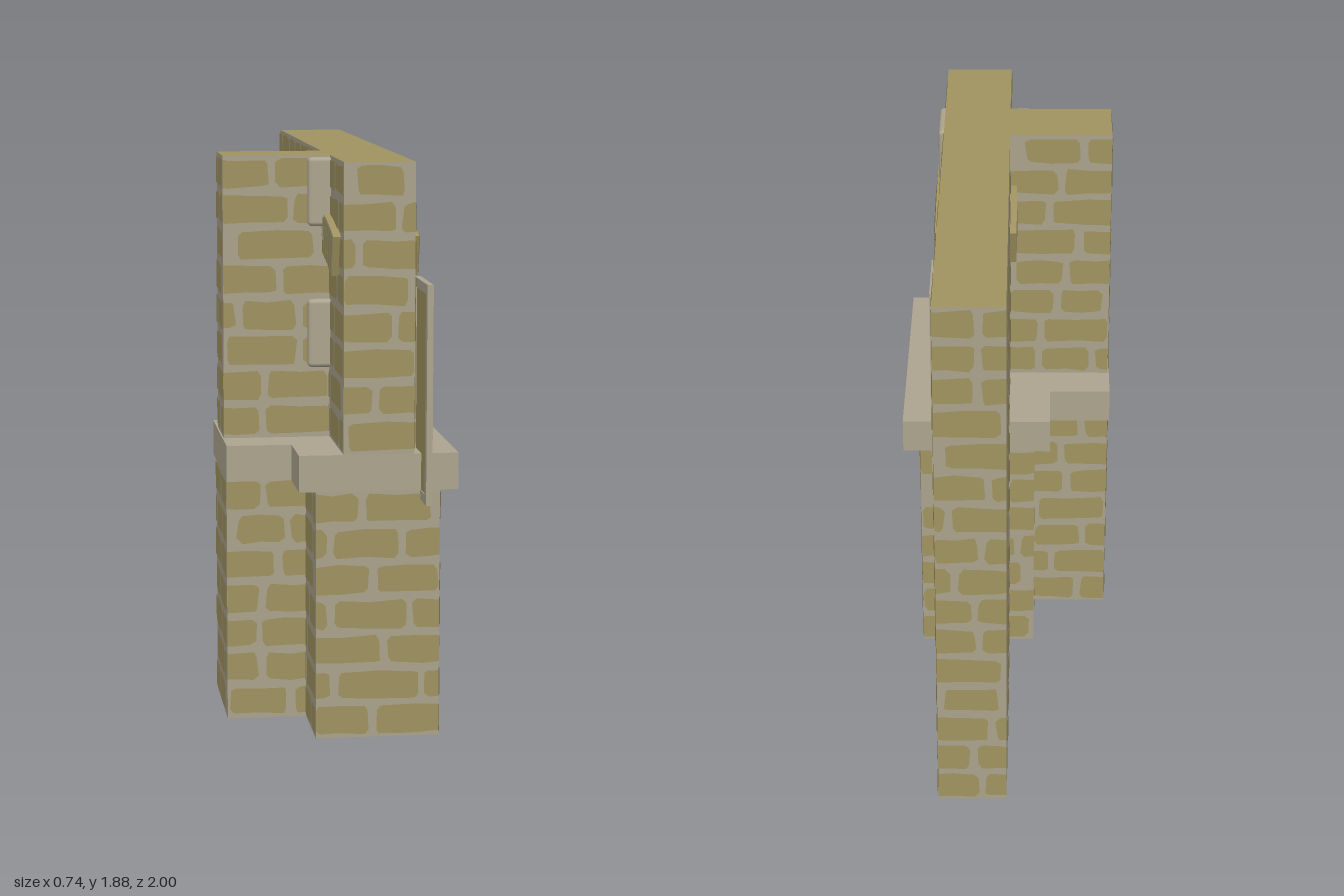
import * as THREE from 'three';
import { mergeGeometries } from 'three/addons/utils/BufferGeometryUtils.js';
import { RoundedBoxGeometry } from 'three/addons/geometries/RoundedBoxGeometry.js';

const PITCH = 0.1175; // height of one brick course
const LIFT = 0.003;   // brick plates sit just proud of the mortar

export function createModel() {
  const model = new THREE.Group();
  model.name = 'brickWallCorner';

  const brick = new THREE.MeshStandardMaterial({ color: 0xa09260, side: THREE.DoubleSide });
  brick.name = 'brick';
  const mortar = new THREE.MeshStandardMaterial({ color: 0xaaa28c });
  mortar.name = 'mortar';
  const stone = new THREE.MeshStandardMaterial({ color: 0xaca48e });
  stone.name = 'stone';

  let seed = 7;
  const rand = () => (seed = (seed * 16807) % 2147483647) / 2147483647;
  const jitter = (a) => (rand() - 0.5) * 2 * a;

  function add(parent, name, geometry, material, x = 0, y = 0, z = 0) {
    const mesh = new THREE.Mesh(geometry, material);
    mesh.name = name;
    mesh.position.set(x, y, z);
    parent.add(mesh);
    return mesh;
  }

  // One worn brick outline, clamped to the face it lies on
  function brickPlate(x0, x1, y0, y1, w, h) {
    const c = 0.013, mx = (x0 + x1) / 2;
    const pts = [
      [x0 + c, y0], [mx, y0], [x1 - c, y0], [x1, y0 + c], [x1, y1 - c],
      [x1 - c, y1], [mx, y1], [x0 + c, y1], [x0, y1 - c], [x0, y0 + c],
    ].map(([x, y]) => new THREE.Vector2(
      THREE.MathUtils.clamp(x + jitter(0.005), 0, w),
      THREE.MathUtils.clamp(y + jitter(0.005), 0, h)));
    return new THREE.ShapeGeometry(new THREE.Shape(pts));
  }

  // Running-bond courses covering a w by h face
  function brickFace(w, h) {
    const plates = [];
    for (let row = 0; (row + 0.3) * PITCH < h; row++) {
      const y = row * PITCH;
      let x = -(row % 2) * 0.12 - rand() * 0.07;
      while (x < w) {
        const len = 0.17 + rand() * 0.12;
        const a = x + 0.013, b = x + len - 0.013;
        if (b > 0.03 && a < w - 0.03) plates.push(brickPlate(a, b, y + 0.014, y + PITCH - 0.013, w, h));
        x += len;
      }
    }
    return mergeGeometries(plates);
  }

  // A masonry block with bricks laid on the chosen sides
  function masonry(name, [x0, x1], [y0, y1], [z0, z1], sides) {
    const group = new THREE.Group();
    group.name = name;
    const w = x1 - x0, h = y1 - y0, d = z1 - z0;
    add(group, name + 'Core', new THREE.BoxGeometry(w, h, d),
      [mortar, mortar, brick, brick, mortar, mortar], (x0 + x1) / 2, (y0 + y1) / 2, (z0 + z1) / 2);
    const faces = {
      front: [w, 0, x0, z1 + LIFT],
      right: [d, Math.PI / 2, x1 + LIFT, z1],
      back: [w, Math.PI, x1, z0 - LIFT],
      left: [d, -Math.PI / 2, x0 - LIFT, z0],
    };
    for (const side of sides) {
      const [len, turn, x, z] = faces[side];
      add(group, `${name}${side[0].toUpperCase()}${side.slice(1)}Bricks`, brickFace(len, h), brick, x, y0, z).rotation.y = turn;
    }
    model.add(group);
  }

  // Walls: long wall in two lifts, wide base and the side wing
  masonry('upperWall', [-0.01, 0.22], [0.94, 1.88], [-1, 0.88], ['front', 'right', 'back', 'left']);
  masonry('lowerWall', [-0.01, 0.22], [0, 0.94], [-1, -0.05], ['right', 'back', 'left']);
  masonry('wallBase', [-0.1, 0.305], [0, 0.82], [-0.055, 0.88], ['front', 'right', 'back', 'left']);
  masonry('wingBase', [-0.365, -0.1], [0, 0.82], [0.21, 0.61], ['front', 'back', 'left']);
  masonry('upperWing', [-0.365, -0.01], [0.94, 1.88], [0.29, 0.52], ['front', 'back', 'left']);

  // Stone ledge with a T-shaped plan
  const plan = new THREE.Shape([
    [-0.155, -0.88], [0.365, -0.88], [0.365, 0.07], [-0.155, 0.07],
    [-0.155, -0.15], [-0.37, -0.15], [-0.37, -0.67], [-0.155, -0.67],
  ].map(([x, y]) => new THREE.Vector2(x, y)));
  const ledgeGeometry = new THREE.ExtrudeGeometry(plan, { depth: 0.12, bevelEnabled: false });
  add(model, 'ledge', ledgeGeometry.rotateX(-Math.PI / 2), stone, 0, 0.82, 0);

  // Corner stones, alternately long along the wall and long through it
  for (let i = 0; i < 4; i++) {
    const through = i % 2 === 1;
    const x0 = through ? -0.085 : 0.02, z0 = through ? 0.33 : 0.23;
    const w = 0.24 - x0, d = 0.548 - z0;
    add(model, 'cornerStone' + (i + 1), new RoundedBoxGeometry(w, 0.227, d, 2, 0.014),
      stone, x0 + w / 2, 1.0555 + i * 0.235, z0 + d / 2);
  }

  // Shallow arch running through the wall
  const R = 1.363, r = 1.228, half = 0.295, archY = 0.332, archZ = 0.41;
  const arch = new THREE.Group();
  arch.name = 'arch';
  arch.rotation.y = Math.PI / 2;
  arch.position.set(0, archY, archZ);
  model.add(arch);
  function arcBlock(a0, a1, r0, r1) {
    const s = new THREE.Shape();
    s.absarc(0, 0, r1, Math.PI / 2 + a1, Math.PI / 2 + a0, true);
    s.absarc(0, 0, r0, Math.PI / 2 + a0, Math.PI / 2 + a1, false);
    return s;
  }
  add(arch, 'archCore', new THREE.ExtrudeGeometry(arcBlock(-half, half, r, R),
    { depth: 0.28, bevelEnabled: false, curveSegments: 16 }), [mortar, brick], 0, 0, -0.035);

  // Upright arch bricks; the middle ones are split in two
  const blocks = [], count = 15, step = 2 * half / count;
  for (let i = 0; i < count; i++) {
    const a0 = -half + i * step + 0.006, a1 = a0 + step - 0.012 + jitter(0.002);
    const split = Math.abs(i - 7) < 4 ? r + 0.05 + rand() * 0.03 : 0;
    const spans = split ? [[r + 0.008, split - 0.008], [split + 0.008, R - 0.008]] : [[r + 0.004, R - 0.004]];
    for (const [b0, b1] of spans) blocks.push(new THREE.ShapeGeometry(arcBlock(a0, a1, b0, b1), 3));
  }
  const archBricks = mergeGeometries(blocks);
  add(arch, 'archRightBricks', archBricks, brick, 0, 0, 0.245 + LIFT);
  add(arch, 'archLeftBricks', archBricks, brick, 0, 0, -0.035 - LIFT);

  // Framed shutters either side of the corner stones
  for (const [name, z] of [['frontShutter', 0.87], ['rearShutter', -0.045]]) {
    const shutter = new THREE.Group();
    shutter.name = name;
    shutter.position.set(0.24, 1.145, z);
    shutter.rotation.y = Math.PI / 2;
    const rect = (Type, w, h) => new Type([[-w, -h], [w, -h], [w, h], [-w, h]].map(([x, y]) => new THREE.Vector2(x, y)));
    const outline = rect(THREE.Shape, 0.13, 0.355);
    outline.holes.push(rect(THREE.Path, 0.099, 0.324));
    add(shutter, name + 'Frame', new THREE.ExtrudeGeometry(outline, { depth: 0.02, bevelEnabled: false }), stone);
    add(shutter, name + 'Panel', new THREE.BoxGeometry(0.2, 0.65, 0.008), brick, 0, 0, 0.007);
    model.add(shutter);
  }
  return model;
}
